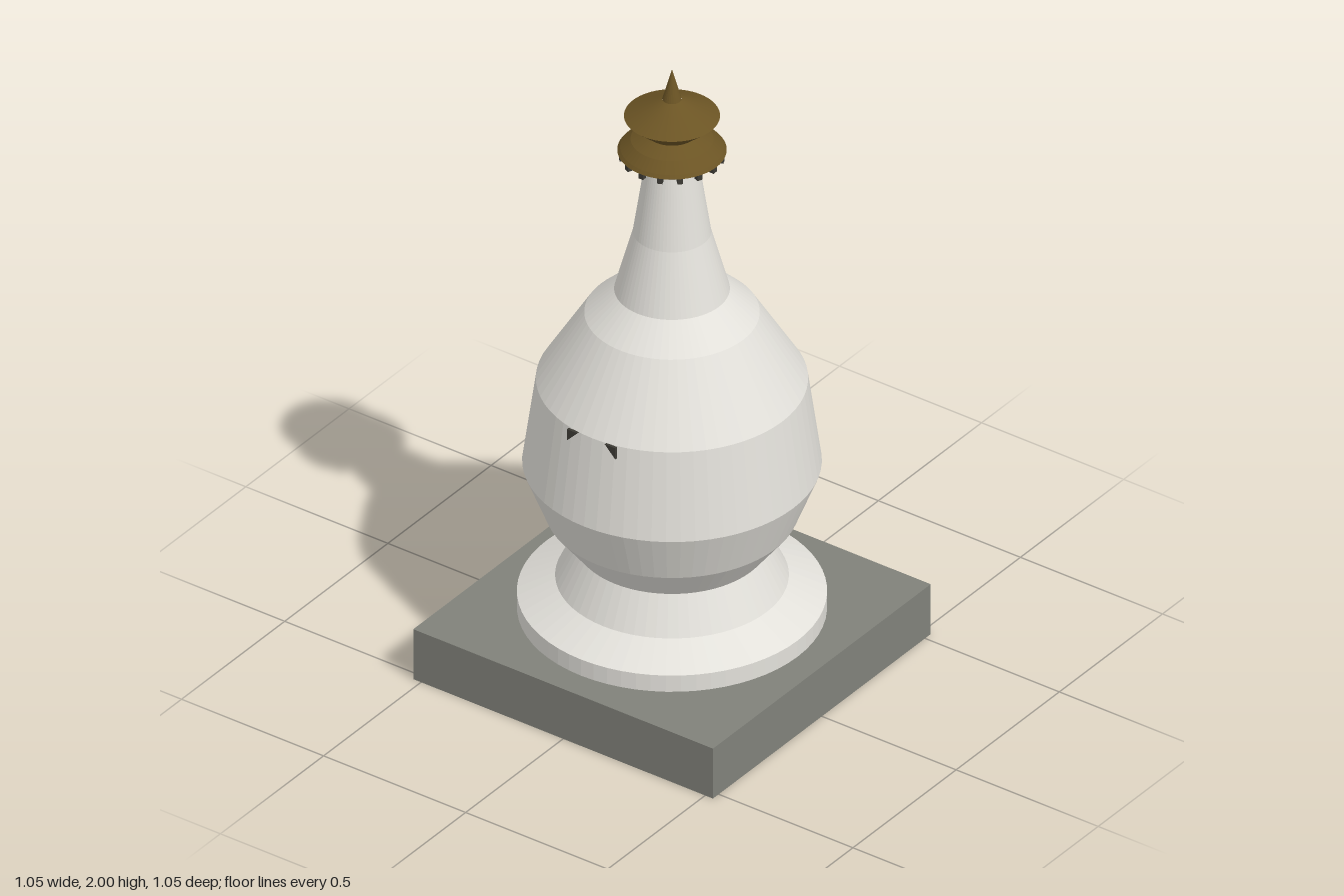
import * as THREE from 'three';

function material(name, color) {
  const m = new THREE.MeshStandardMaterial({ color, flatShading: true });
  m.name = name;
  return m;
}

export function createModel() {
  const white = material('whitewash', 0xe2e0da);
  const stone = material('greyStone', 0x80817a);
  const gold = material('darkGold', 0x6b5424);
  const dark = material('darkTrim', 0x3c3a34);
  const group = new THREE.Group();

  function add(name, geometry, mat, parent = group) {
    const mesh = new THREE.Mesh(geometry, mat);
    mesh.name = name;
    parent.add(mesh);
    return mesh;
  }
  // Profile points are [radius, height], from bottom to top
  function lathe(name, profile, mat, segments = 64) {
    const points = profile.map(([r, y]) => new THREE.Vector2(r, y));
    return add(name, new THREE.LatheGeometry(points, segments), mat);
  }

  // Square plinth
  add('plinth', new THREE.BoxGeometry(1.055, 0.17, 1.055), stone).position.y = 0.085;

  // Round foot, bulb and neck
  lathe('foot', [[0, 0.168], [0.442, 0.168], [0.442, 0.225], [0.333, 0.28], [0.277, 0.395]], white);
  lathe('bulb', [[0.277, 0.395], [0.362, 0.505], [0.427, 0.67], [0.388, 0.95], [0.25, 1.175], [0.165, 1.255]], white);
  lathe('neck', [[0.165, 1.255], [0.112, 1.45], [0.078, 1.675]], white);
  lathe('neckFlare', [[0.078, 1.675], [0.115, 1.705], [0.148, 1.732]], white);

  // Two-tiered roof and pointed finial
  lathe('lowerRoof', [[0.148, 1.727], [0.156, 1.727], [0.148, 1.737], [0.118, 1.765], [0.072, 1.79]], gold);
  lathe('upperRoof', [[0.072, 1.787], [0.137, 1.843], [0.028, 1.9]], gold);
  lathe('finial', [[0.028, 1.9], [0, 2]], gold, 24);

  // Small blocks hanging under the lower eave
  const blocks = new THREE.Group();
  blocks.name = 'eaveBlocks';
  group.add(blocks);
  const blockGeometry = new THREE.BoxGeometry(0.016, 0.022, 0.016);
  for (let i = 0; i < 16; i++) {
    const a = (i / 16) * Math.PI * 2;
    const block = add('eaveBlock', blockGeometry, dark, blocks);
    block.position.set(Math.sin(a) * 0.144, 1.718, Math.cos(a) * 0.144);
    block.rotation.y = a;
  }

  // Pair of thin triangular marks on the front of the bulb
  for (const side of [-1, 1]) {
    const shape = new THREE.Shape([
      new THREE.Vector2(side * 0.085, 0.95),
      new THREE.Vector2(side * 0.048, 0.95),
      new THREE.Vector2(side * 0.085, 0.912),
    ]);
    const mark = add(side > 0 ? 'leftMark' : 'rightMark',
      new THREE.ExtrudeGeometry(shape, { depth: 0.009, bevelEnabled: false }), dark);
    mark.position.z = 0.383;
  }

  return group;
}
